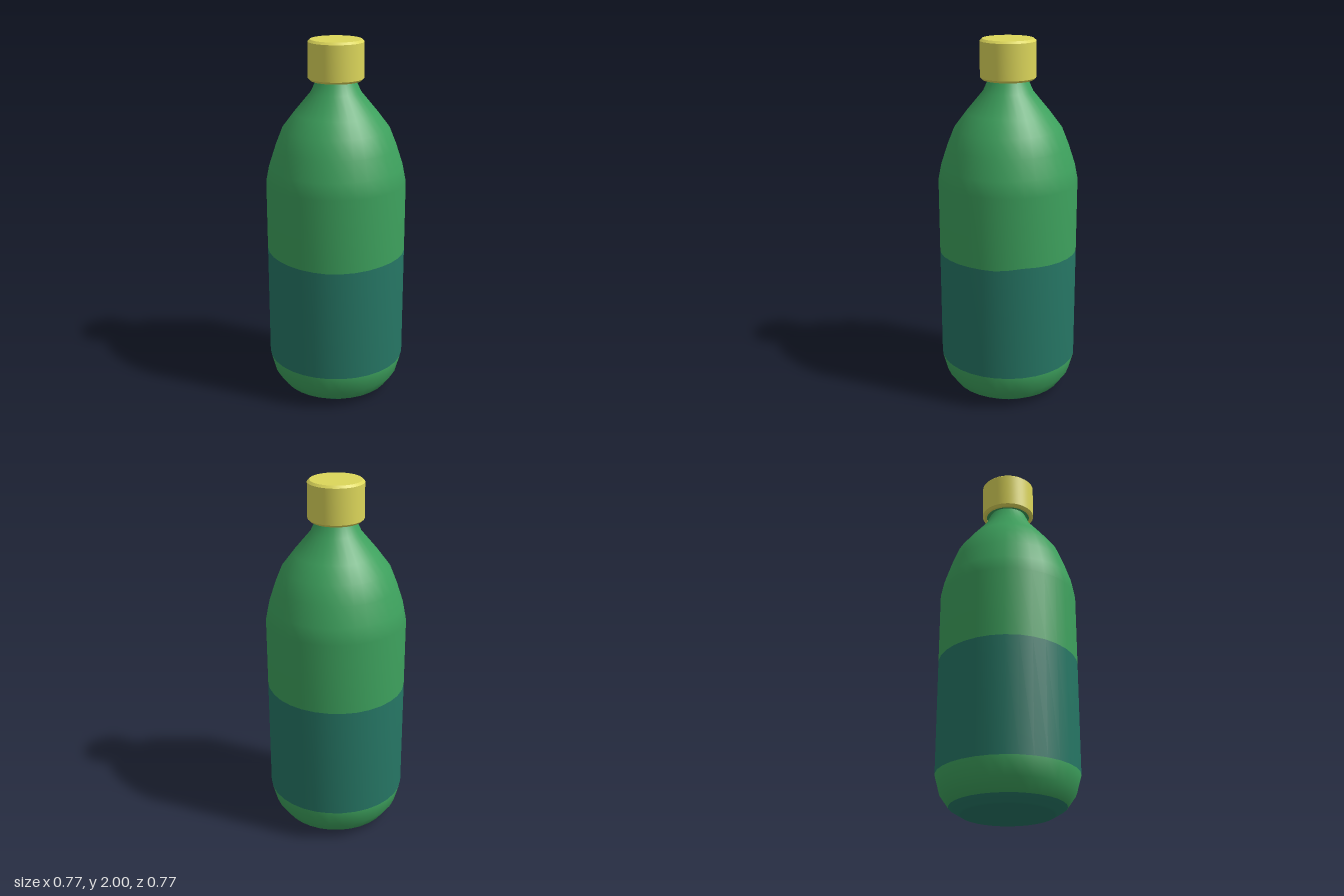
import * as THREE from 'three';
import { toCreasedNormals } from 'three/addons/utils/BufferGeometryUtils.js';

const SIDES = 32;
const glass = new THREE.MeshStandardMaterial({ color: 0x3da15d });
glass.name = 'green glass';
const teal = new THREE.MeshStandardMaterial({ color: 0x267765 });
teal.name = 'teal label';
const gold = new THREE.MeshStandardMaterial({ color: 0xdcd65a });
gold.name = 'yellow cap';

const points = (list) => list.map(([r, y]) => new THREE.Vector2(r, y));

// Height of the uneven label top, every 22.5 degrees from the front towards +x
const LABEL_TOP = [0.827, 0.83, 0.836, 0.838, 0.836, 0.85, 0.845, 0.842,
  0.84, 0.838, 0.84, 0.842, 0.845, 0.845, 0.84, 0.833];

function labelTop(segment) {
  const t = (segment / SIDES) * LABEL_TOP.length;
  const i = Math.floor(t);
  const n = LABEL_TOP.length;
  return THREE.MathUtils.lerp(LABEL_TOP[i % n], LABEL_TOP[(i + 1) % n], t - i);
}

// One smooth lathe, its rows of faces grouped by colour
function bodyGeometry() {
  const profile = points([
    [0.245, 0], [0.308, 0.038], [0.356, 0.106], [0.383, 0.205],
    [0.383, 0.84], [0.383, 1.235], [0.366, 1.32], [0.33, 1.43], [0.292, 1.525],
    [0.228, 1.61], [0.135, 1.722], [0.102, 1.795],
  ]);
  const geometry = new THREE.LatheGeometry(profile, SIDES);
  const rows = profile.length - 1;
  const labelEdge = 4;
  const position = geometry.attributes.position;
  for (let s = 0; s <= SIDES; s++) {
    position.setY(s * profile.length + labelEdge, labelTop(s));
  }
  const old = geometry.index.array;
  const index = [];
  for (let row = 0; row < rows; row++) {
    const isTeal = row === 0 || row === labelEdge - 1;
    geometry.addGroup(index.length, SIDES * 6, isTeal ? 1 : 0);
    for (let s = 0; s < SIDES; s++) {
      const start = (s * rows + row) * 6;
      index.push(...old.slice(start, start + 6));
    }
  }
  geometry.setIndex(index);
  return geometry;
}

function creasedLathe(list, sides) {
  return toCreasedNormals(new THREE.LatheGeometry(points(list), sides), 0.5);
}

export function createModel() {
  const model = new THREE.Group();
  model.name = 'bottle';
  const add = (name, geometry, material) => {
    const mesh = new THREE.Mesh(geometry, material);
    mesh.name = name;
    model.add(mesh);
    return mesh;
  };

  add('body', bodyGeometry(), [glass, teal]);

  // Flat underside
  const base = add('base', new THREE.CircleGeometry(0.245, SIDES), teal);
  base.rotation.x = Math.PI / 2;

  // Lip of the neck, just inside the cap
  add('neckLip', creasedLathe([[0.1, 1.792], [0.128, 1.792], [0.128, 1.85]], SIDES), glass);

  // Bevelled screw cap
  add('cap', creasedLathe([
    [0.126, 1.8], [0.126, 1.785], [0.138, 1.785], [0.15, 1.797],
    [0.15, 1.988], [0.137, 2], [0, 2],
  ], 64), gold);

  return model;
}
